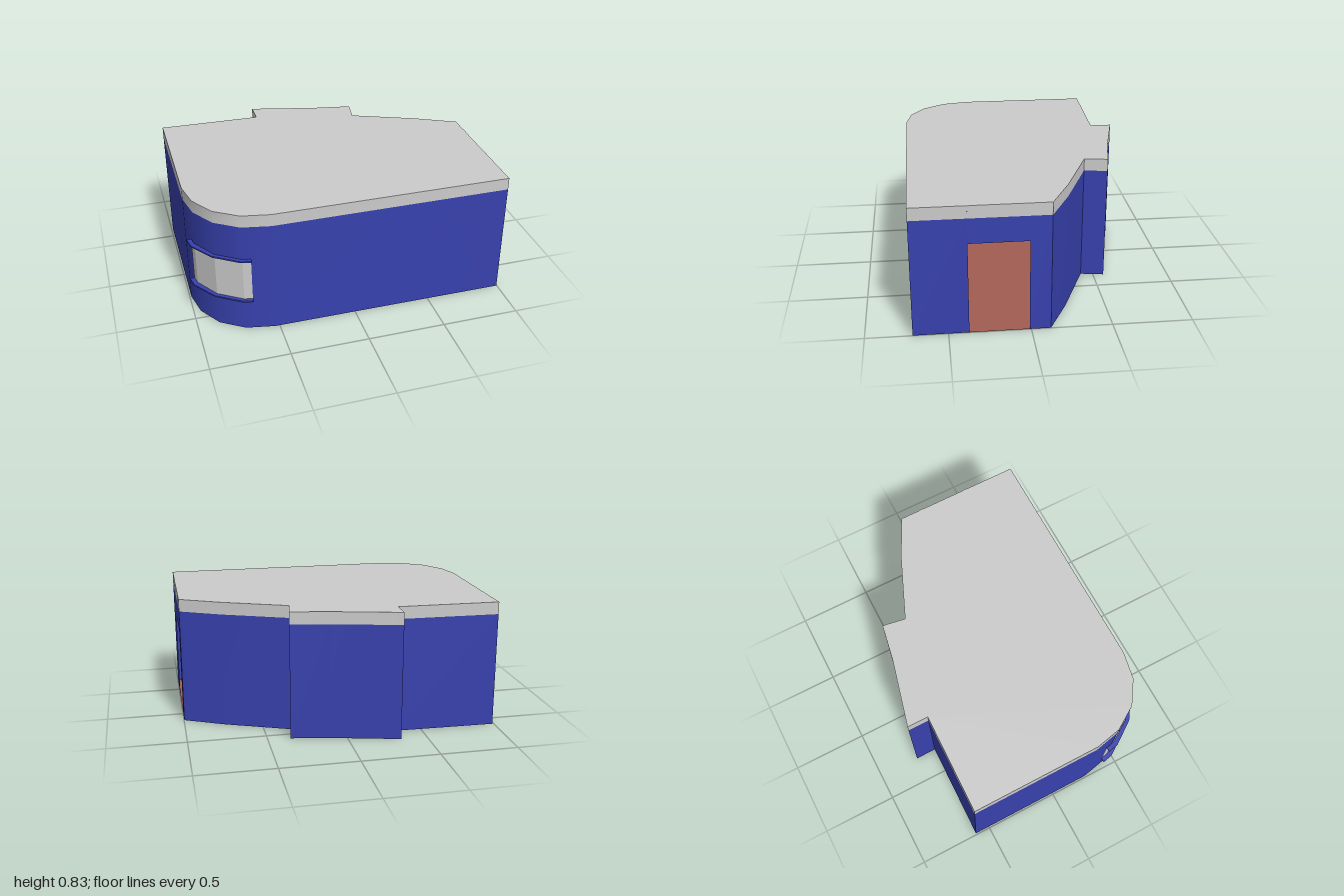
import * as THREE from 'three';
import { toCreasedNormals } from 'three/addons/utils/BufferGeometryUtils.js';

const WALL_TOP = 0.75, ROOF_Y = 0.83;
const DOOR = { z0: 0.01, z1: 0.375, top: 0.59 };

// Floor plan as [x, z], running from the back left corner round to the front
const PLAN = [
  [-0.99, -0.6], [-0.33, -0.585], [-0.33, -0.725], [0.11, -0.615], [0.355, -0.57],
  [0.33, -0.42], [0.74, -0.25], [0.998, -0.12], [0.998, 0.715], [-0.53, 0.715],
  [-0.71, 0.68], [-0.86, 0.58], [-0.955, 0.43], [-0.99, 0.26],
];

const material = (color, flatShading = false) =>
  new THREE.MeshStandardMaterial({ color, flatShading, side: THREE.DoubleSide });

// Upright surface along a path of [x, z] points
function strip(path, y0, y1) {
  const pos = [];
  for (let i = 0; i < path.length - 1; i++) {
    const [ax, az] = path[i], [bx, bz] = path[i + 1];
    pos.push(bx, y0, bz, ax, y0, az, ax, y1, az);
    pos.push(bx, y0, bz, ax, y1, az, bx, y1, bz);
  }
  const geo = new THREE.BufferGeometry();
  geo.setAttribute('position', new THREE.Float32BufferAttribute(pos, 3));
  return toCreasedNormals(geo, 0.5);
}

const planShape = (pts) => new THREE.Shape(pts.map(([x, z]) => new THREE.Vector2(x, -z)));

export function createModel() {
  const group = new THREE.Group();
  const blue = material(0x3741ae), grey = material(0xcccccc);
  const add = (name, geo, mat, y = 0) => {
    const mesh = new THREE.Mesh(geo, mat);
    mesh.name = name;
    mesh.position.y = y;
    group.add(mesh);
    return mesh;
  };

  // Floor and flat roof
  const slab = new THREE.ShapeGeometry(planShape(PLAN)).rotateX(-Math.PI / 2);
  add('floor', slab, material(0xa35c52));
  add('roof', slab, grey, ROOF_Y);

  // Walls, left open at the doorway in the side wall
  const sideX = PLAN[7][0];
  const doorBack = [sideX, DOOR.z0], doorFront = [sideX, DOOR.z1];
  add('wall', strip([doorFront, ...PLAN.slice(8), ...PLAN.slice(0, 8), doorBack], 0, WALL_TOP), blue);
  add('doorLintel', strip([doorBack, doorFront], DOOR.top, WALL_TOP), blue);

  // Grey band between wall and roof
  add('roofBand', strip([...PLAN, PLAN[0]], WALL_TOP, ROOF_Y), grey);

  // Small blocks in the band above the door jambs
  for (const z of [DOOR.z0 + 0.015, DOOR.z1 - 0.015]) {
    const block = add('bandBlock', new THREE.BoxGeometry(0.004, ROOF_Y - WALL_TOP, 0.03), grey, (WALL_TOP + ROOF_Y) / 2);
    block.position.x = sideX;
    block.position.z = z;
  }

  // Window wrapped round the curved corner
  const inner = [[-0.66, 0.694], [-0.712, 0.684], [-0.863, 0.583], [-0.959, 0.432], [-0.971, 0.375]];
  add('cornerWindow', strip(inner, 0.23, 0.52), material(0xcccccc, true));

  // Ledges above and below the window
  const outer = [[-1, 0.38], [-0.985, 0.45], [-0.88, 0.6], [-0.725, 0.705], [-0.66, 0.72]];
  const ledge = new THREE.ExtrudeGeometry(planShape([...inner, ...outer]), { depth: 0.01, bevelEnabled: false })
    .rotateX(-Math.PI / 2);
  add('lowerLedge', ledge, blue, 0.22);
  add('upperLedge', ledge, blue, 0.515);

  return group;
}
